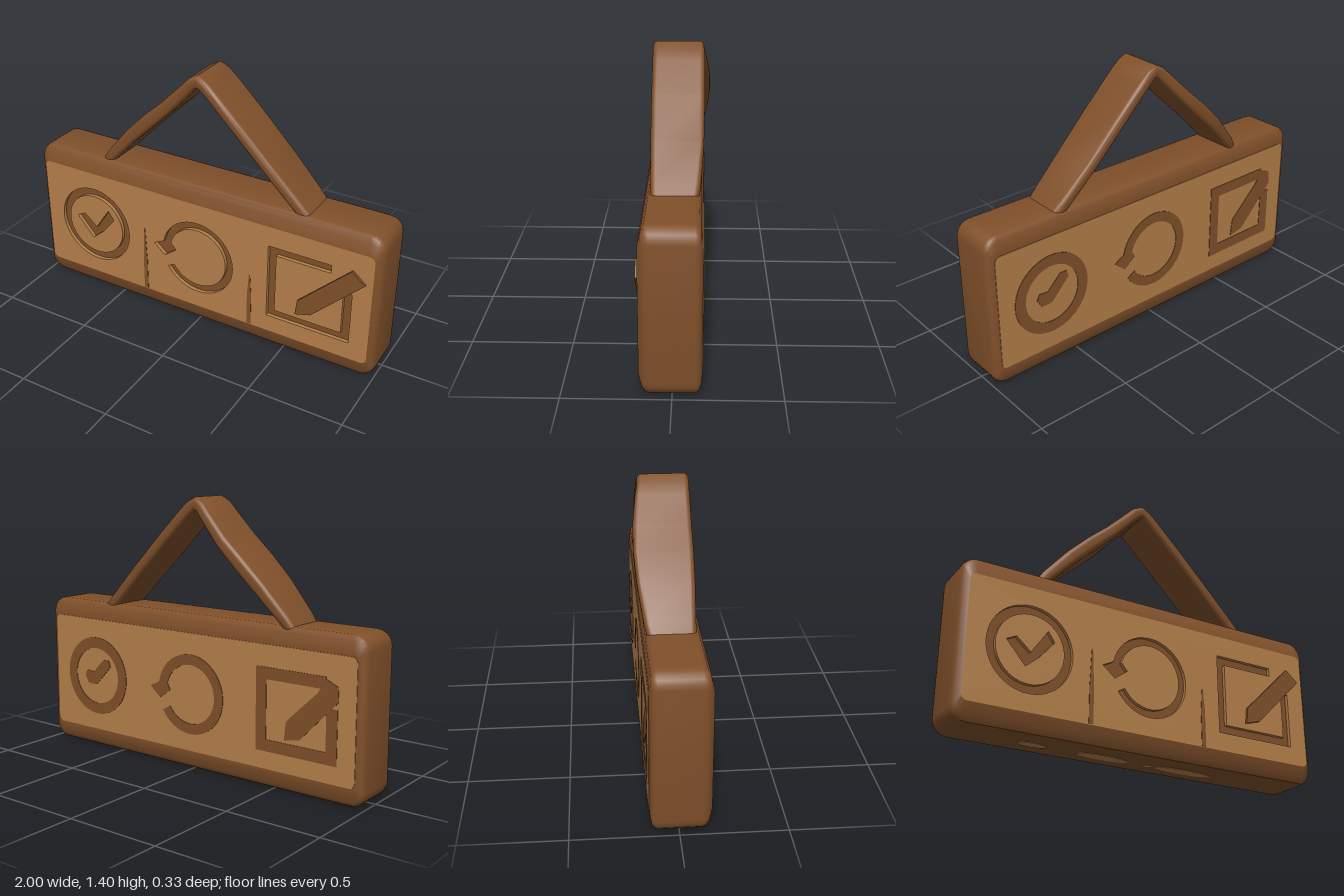
import * as THREE from 'three';
import { toCreasedNormals } from 'three/addons/utils/BufferGeometryUtils.js';

const V2 = (x, y) => new THREE.Vector2(x, y);

// Counter-clockwise rounded rectangle outline
function roundRect(x0, x1, y0, y1, r, seg = 5) {
  const pts = [];
  [[x1 - r, y0 + r, -1], [x1 - r, y1 - r, 0], [x0 + r, y1 - r, 1], [x0 + r, y0 + r, 2]].forEach(([cx, cy, q]) => {
    for (let i = 0; i <= seg; i++) {
      const a = (q + i / seg) * Math.PI / 2;
      pts.push(V2(cx + r * Math.cos(a), cy + r * Math.sin(a)));
    }
  });
  return pts;
}

// Skin a list of equal-length rings and close both ends
function loft(rings, crease) {
  const n = rings[0].length, pos = [], idx = [];
  rings.forEach(r => r.forEach(p => pos.push(p.x, p.y, p.z)));
  for (let k = 0; k < rings.length - 1; k++) {
    for (let i = 0; i < n; i++) {
      const a = k * n + i, b = k * n + (i + 1) % n;
      idx.push(a, b, b + n, a, b + n, a + n);
    }
  }
  const last = (rings.length - 1) * n;
  for (let i = 1; i < n - 1; i++) idx.push(0, i + 1, i, last, last + i, last + i + 1);
  const g = new THREE.BufferGeometry();
  g.setAttribute('position', new THREE.Float32BufferAttribute(pos, 3));
  g.setIndex(idx);
  return toCreasedNormals(g, crease);
}

const circle = (cx, cy, r) => new THREE.Path().absarc(cx, cy, r, 0, Math.PI * 2).getPoints(48).slice(0, -1);
const poly = list => list.map(([x, y]) => V2(x, y));

// Three-quarter loop ending in an arrowhead
function arrowLoop(cy, outer, inner) {
  const pts = [], from = -2.6, to = 2.95, n = 36;
  for (let i = 0; i <= n; i++) {
    const a = from + (to - from) * i / n;
    pts.push(V2(outer * Math.cos(a), cy + outer * Math.sin(a)));
  }
  pts.push(V2(-0.265, 0.41), V2(-0.2, 0.355), V2(-0.13, 0.405));
  for (let i = n; i >= 0; i--) {
    const a = from + (to - 0.07 - from) * i / n;
    pts.push(V2(inner * Math.cos(a), cy + inner * Math.sin(a)));
  }
  return pts;
}

// Square frame, open at its upper right corner
const openFrame = (w, topEnd, rightEnd) => poly([
  [0.41, 0.61], [0.41, 0.19], [0.865, 0.19], [0.865, rightEnd], [0.865 - w, rightEnd],
  [0.865 - w, 0.19 + w], [0.41 + w, 0.19 + w], [0.41 + w, 0.61 - w], [topEnd, 0.61 - w], [topEnd, 0.61]]);

export function createModel() {
  const group = new THREE.Group();
  const brown = new THREE.MeshStandardMaterial({ color: 0x80502a });
  brown.name = 'dark wood';
  const tan = new THREE.MeshStandardMaterial({ color: 0xb5804a });
  tan.name = 'light wood';

  const add = (name, geometry, material, parent = group) => {
    const mesh = new THREE.Mesh(geometry, material);
    mesh.name = name;
    parent.add(mesh);
    return mesh;
  };
  // Flat plate from an outline, spanning z0 to z1
  const plate = (name, pts, holes, z0, z1, material, parent) => {
    const shape = new THREE.Shape(pts);
    holes.forEach(h => shape.holes.push(new THREE.Path(h)));
    const g = new THREE.ExtrudeGeometry(shape, { depth: z1 - z0, bevelEnabled: false });
    return add(name, g.translate(0, 0, z0), material, parent);
  };

  // Board: rounded block with a shallow recess in front
  const layers = [
    [-0.135, 0.965, 0.09, 0.73, 0.03], [-0.127, 0.985, 0.03, 0.79, 0.05], [-0.115, 0.996, 0.01, 0.808, 0.07],
    [-0.1, 1, 0.002, 0.815, 0.075], [0.1, 1, 0.002, 0.815, 0.075], [0.12, 0.996, 0.008, 0.808, 0.07],
    [0.136, 0.985, 0.035, 0.78, 0.05], [0.15, 0.965, 0.095, 0.72, 0.03], [0.13, 0.965, 0.095, 0.72, 0.03]];
  add('board', loft(layers.map(([z, x, y0, y1, r]) =>
    roundRect(-x, x, y0, y1, r).map(p => new THREE.Vector3(p.x, p.y, z))), 0.7), brown);

  // Front panel with engraved icons
  const check = poly([[-0.77, 0.43], [-0.72, 0.455], [-0.645, 0.39], [-0.56, 0.515], [-0.525, 0.465], [-0.6, 0.375], [-0.67, 0.315]]);
  const frontPanel = new THREE.Group();
  frontPanel.name = 'frontPanel';
  group.add(frontPanel);
  plate('engravedPanel', roundRect(-0.965, 0.965, 0.095, 0.72, 0.03),
    [circle(-0.648, 0.405, 0.22), arrowLoop(0.4, 0.21, 0.168), openFrame(0.045, 0.75, 0.48)],
    0.13, 0.15, tan, frontPanel);
  plate('checkDisc', circle(-0.648, 0.405, 0.175), [check], 0.13, 0.15, tan, frontPanel);

  // Raised pencil and panel joints
  plate('pencil', poly([[0.575, 0.265], [0.66, 0.29], [0.93, 0.56], [0.86, 0.62], [0.585, 0.35]]),
    [], 0.145, 0.163, brown, frontPanel);
  [[-0.325, 0.48], [0.31, 0.4]].forEach(([x, top]) => plate('panelJoint',
    poly([[x - 0.012, 0.1], [x + 0.012, 0.1], [x + 0.012, 0.28], [x + 0.003, top], [x - 0.003, top], [x - 0.012, 0.28]]),
    [], 0.149, 0.152, brown, frontPanel));

  // Back panel with the same icons painted flat
  const back = new THREE.Group();
  back.name = 'backPanel';
  back.rotation.y = Math.PI;
  group.add(back);
  plate('backPlate', roundRect(-0.96, 0.96, 0.1, 0.72, 0.03), [], 0.132, 0.138, tan, back);
  const paint = (name, pts, holes = []) => plate(name, pts, holes, 0.137, 0.1405, brown, back);
  paint('backRing', circle(-0.655, 0.405, 0.215), [circle(-0.655, 0.405, 0.155)]);
  paint('backCheck', poly([[-0.745, 0.4], [-0.72, 0.355], [-0.66, 0.355], [-0.555, 0.465], [-0.565, 0.5], [-0.605, 0.5], [-0.68, 0.425], [-0.73, 0.43]]));
  paint('backLoop', arrowLoop(0.4, 0.21, 0.155));
  paint('backFrame', openFrame(0.06, 0.8, 0.46));
  paint('backPencil', poly([[0.575, 0.265], [0.66, 0.28], [0.87, 0.5], [0.865, 0.57], [0.8, 0.6], [0.76, 0.53], [0.585, 0.36]]));

  // Light patches on the underside
  [[0.28, 0.165, 0.035], [0.07, 0.025, 0.018], [-0.18, 0.14, 0.035], [-0.55, 0.075, 0.03]].forEach(([x, rx, rz]) => {
    const g = new THREE.CylinderGeometry(1, 1, 0.004, 20).scale(rx, 1, rz);
    add('undersidePatch', g.translate(x, 0.002, 0), tan);
  });

  // Hanging strap: [x, y, half thickness, front z, back z]
  const strap = [
    [-0.6, 0.77, 0.026, 0.108, -0.11], [-0.55, 0.84, 0.03, 0.11, -0.13], [-0.42, 0.985, 0.036, 0.117, -0.155],
    [-0.31, 1.093, 0.037, 0.12, -0.165], [-0.2, 1.195, 0.034, 0.12, -0.163], [-0.09, 1.31, 0.031, 0.12, -0.145],
    [-0.05, 1.352, 0.031, 0.12, -0.135], [-0.018, 1.369, 0.034, 0.12, -0.132], [0.014, 1.352, 0.031, 0.12, -0.135],
    [0.06, 1.31, 0.031, 0.12, -0.137], [0.2, 1.173, 0.031, 0.12, -0.138], [0.38, 0.992, 0.031, 0.117, -0.135],
    [0.53, 0.842, 0.031, 0.112, -0.122], [0.6, 0.77, 0.031, 0.108, -0.11]];
  const rings = strap.map(([x, y, t, zf, zb], i) => {
    const a = strap[Math.max(i - 1, 0)], b = strap[Math.min(i + 1, strap.length - 1)];
    const d = V2(b[0] - a[0], b[1] - a[1]).normalize();
    return roundRect(-t, t, zb, zf, 0.024).map(p => new THREE.Vector3(x - d.y * p.x, y + d.x * p.x, p.y));
  });
  add('hangingStrap', loft(rings, 0.9), brown);

  return group;
}
